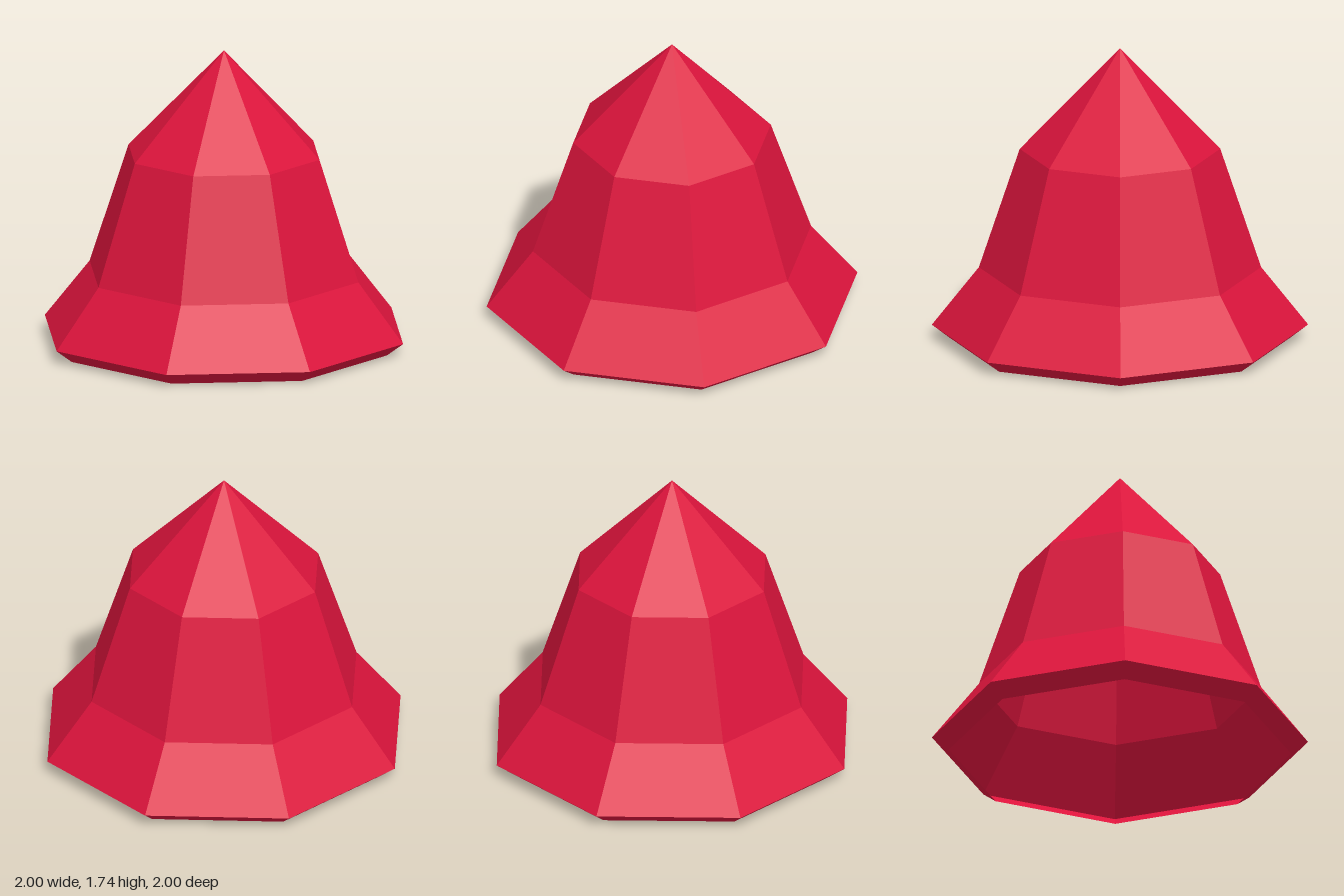
import * as THREE from 'three';

const SIDES = 8;
const toCorner = 1 / Math.cos(Math.PI / SIDES); // flat-to-centre distance -> corner radius

// Eight-sided ring surface through [distance to flat side, height] pairs, bottom to top
function octagonShell(name, profile, material) {
  const points = profile.map(([r, y]) => new THREE.Vector2(r * toCorner, y));
  const mesh = new THREE.Mesh(new THREE.LatheGeometry(points, SIDES, Math.PI / SIDES), material);
  mesh.name = name;
  return mesh;
}

export function createModel() {
  const group = new THREE.Group();
  group.name = 'facetedBell';

  const crimson = new THREE.MeshStandardMaterial({
    color: 0xdc143c, flatShading: true, side: THREE.DoubleSide,
  });
  crimson.name = 'crimson';

  // Bevelled lip turned in under the flare; the bell is open and hollow below
  group.add(octagonShell('lip', [[0.91, 0], [1, 0.075]], crimson));
  // Flared skirt
  group.add(octagonShell('skirt', [[1, 0.075], [0.75, 0.42]], crimson));
  // Tapering body
  group.add(octagonShell('body', [[0.75, 0.42], [0.533, 1.13]], crimson));
  // Pointed cap
  const cap = new THREE.Mesh(
    new THREE.ConeGeometry(0.533 * toCorner, 0.605, SIDES, 1, true, Math.PI / SIDES), crimson);
  cap.position.y = 1.13 + 0.605 / 2;
  cap.name = 'cap';
  group.add(cap);

  return group;
}
